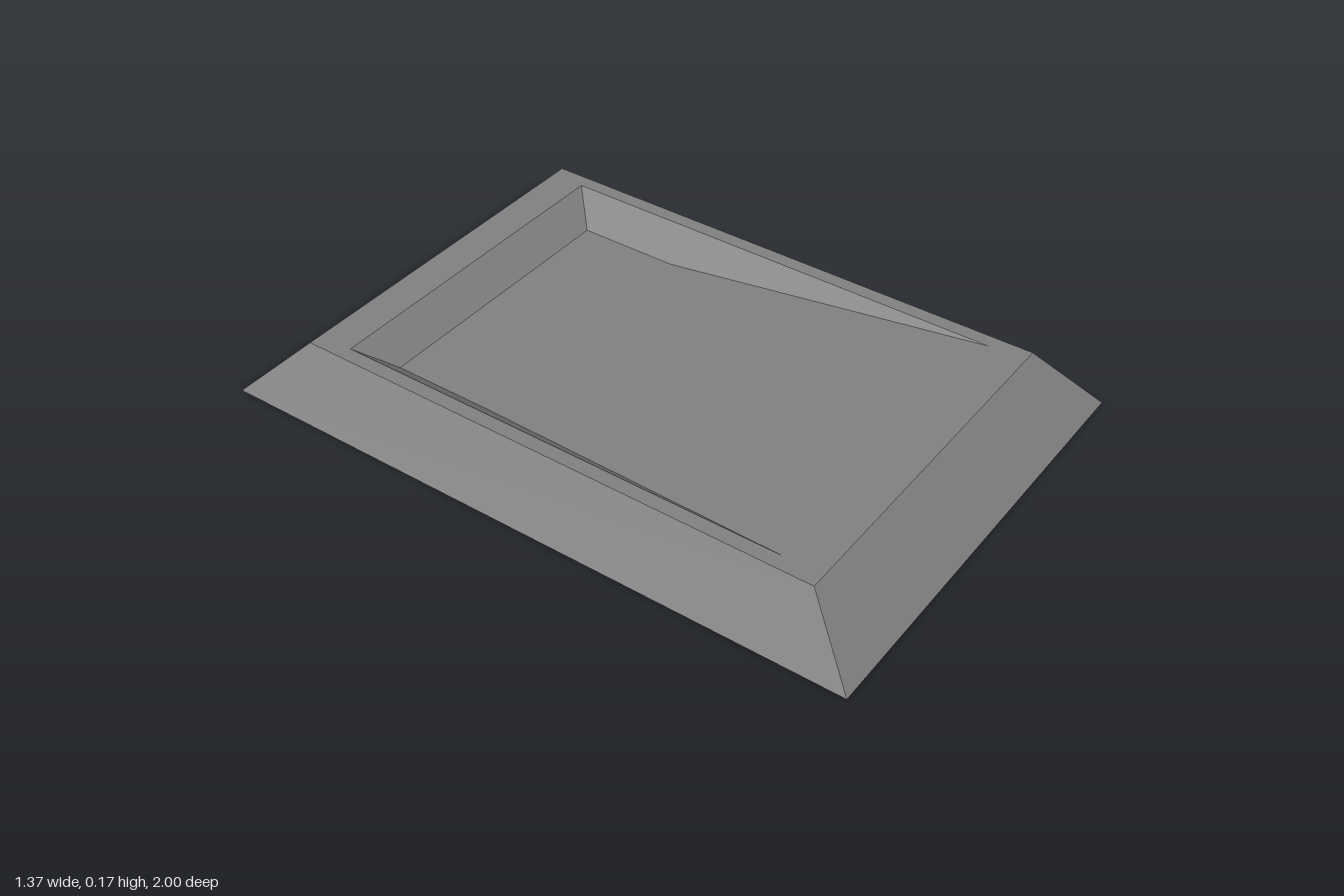
import * as THREE from 'three';

const HEIGHT = 0.172;
const FLOOR = 0.09;

// Four corners at one height, counter-clockwise from above, starting front right (-x, +z)
const loop = (x, y, z) => [[-x, y, z], [x, y, z], [x, y, -z], [-x, y, -z]];

// Quads joining two corner loops
const strip = (a, b) => a.map((p, i) => [p, a[(i + 1) % 4], b[(i + 1) % 4], b[i]]);

// Flat-shaded geometry from convex faces
function facets(faces) {
  const positions = [];
  for (const face of faces) {
    for (let i = 1; i < face.length - 1; i++) {
      positions.push(...face[0], ...face[i], ...face[i + 1]);
    }
  }
  const geometry = new THREE.BufferGeometry();
  geometry.setAttribute('position', new THREE.Float32BufferAttribute(positions, 3));
  geometry.computeVertexNormals();
  return geometry;
}

export function createModel() {
  const group = new THREE.Group();
  group.name = 'recessedSlab';

  const grey = new THREE.MeshStandardMaterial({ color: 0x808080 });
  grey.name = 'grey';

  const add = (name, faces) => {
    const mesh = new THREE.Mesh(facets(faces), grey);
    mesh.name = name;
    group.add(mesh);
  };

  const base = loop(0.684, 0, 1);
  const rimOuter = loop(0.563, HEIGHT, 0.824);
  const rimInner = loop(0.519, HEIGHT, 0.713);
  const [tipRight, tipLeft, backLeft, backRight] = rimInner;

  // Corners of the level floor: its front edge is where the ramp begins
  const floorAt = (x, z) => [x, FLOOR, z];
  const bendRight = floorAt(-0.427, -0.305);
  const bendLeft = floorAt(0.427, -0.305);
  const floorLeft = floorAt(0.427, -0.622);
  const floorRight = floorAt(-0.427, -0.622);

  add('underside', [[...base].reverse()]);
  add('slopedSides', strip(base, rimOuter));
  add('rim', strip(rimOuter, rimInner));

  // Recess: three sloping walls, a level floor and a ramp up to the front rim
  add('recessWalls', [
    [tipLeft, backLeft, floorLeft, bendLeft],
    [backLeft, backRight, floorRight, floorLeft],
    [backRight, tipRight, bendRight, floorRight],
  ]);
  add('recessFloor', [[bendRight, bendLeft, floorLeft, floorRight]]);
  add('ramp', [[tipRight, tipLeft, bendLeft, bendRight]]);

  return group;
}
